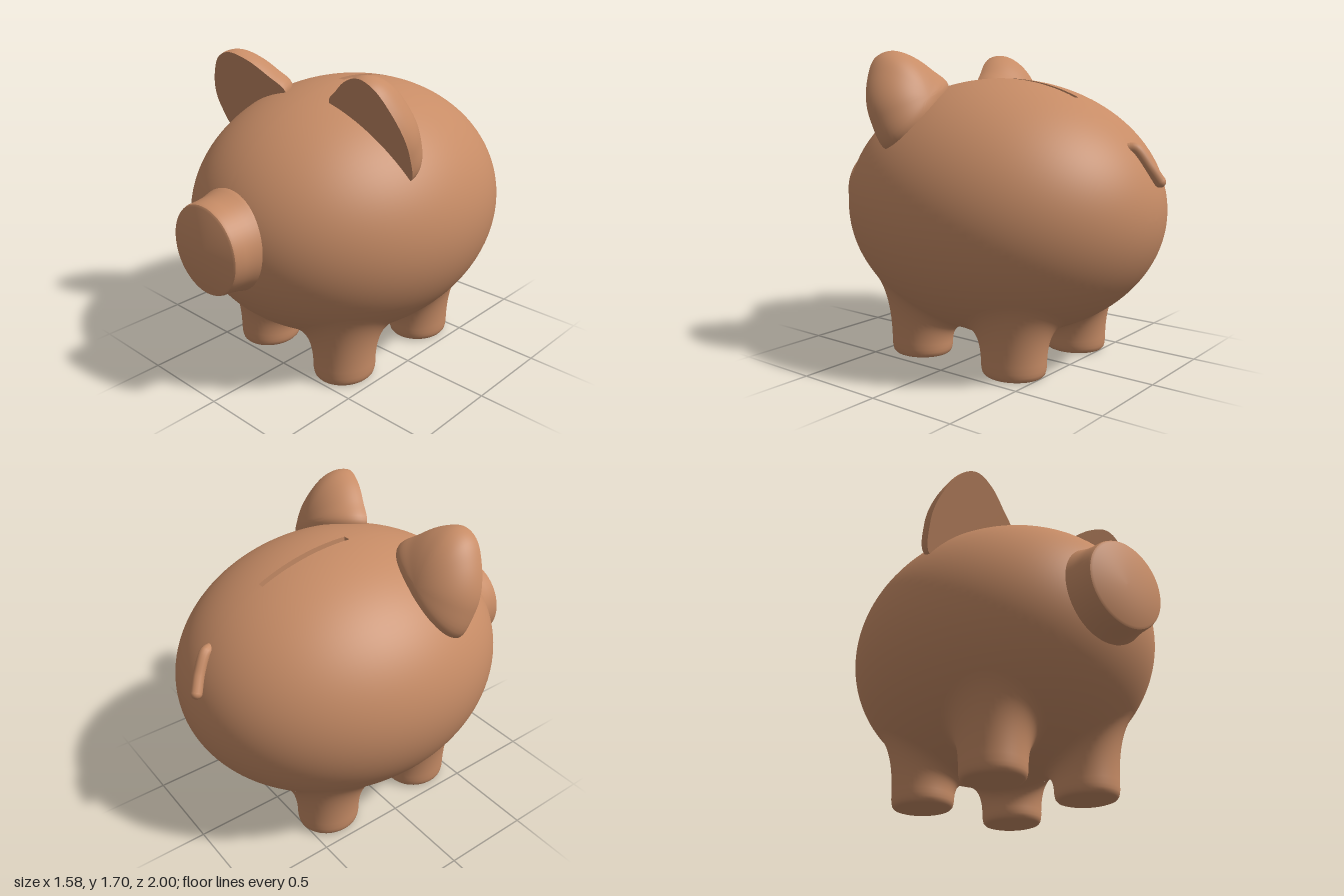
import * as THREE from 'three';
import { toCreasedNormals } from 'three/addons/utils/BufferGeometryUtils.js';
import { ParametricGeometry } from 'three/addons/geometries/ParametricGeometry.js';

// Body ellipsoid: half sizes and centre
const RX = 0.79, RY = 0.71, FRONT = 0.93, BACK = 0.95, CY = 0.845, CZ = -0.03;
const TAU = Math.PI * 2;

function finish(geometry, crease = 0.6) {
  geometry.deleteAttribute('normal');
  geometry.deleteAttribute('uv');
  return toCreasedNormals(geometry, crease);
}

// Evenly spaced values, each tagged as sunk (in the slot) or not
function steps(from, to, count, sunk) {
  return Array.from({ length: count + 1 }, (_, i) => ({ a: from + (to - from) * i / count, sunk }));
}

// Egg-shaped body with the coin slot pressed into its back
function bodyGeometry() {
  const half = 0.025;
  const slotFront = Math.acos((0.02 - CZ) / FRONT);
  const slotBack = Math.acos((-0.52 - CZ) / BACK);
  const around = [...steps(half, TAU - half, 110, false),
    ...steps(TAU - half, TAU + half, 2, true), { a: TAU + half, sunk: false }];
  const along = [...steps(0, slotFront, 32, false),
    ...steps(slotFront, slotBack, 14, true), ...steps(slotBack, Math.PI, 24, false)];
  const nu = around.length - 1, nv = along.length - 1;
  return finish(new ParametricGeometry((u, v, p) => {
    const phi = around[Math.round(u * nu)], th = along[Math.round(v * nv)];
    const r = Math.sin(th.a), c = Math.cos(th.a);
    p.set(RX * r * Math.sin(phi.a), CY + RY * r * Math.cos(phi.a), CZ + c * (c > 0 ? FRONT : BACK));
    if (phi.sunk && th.sunk) p.y -= 0.07;
  }, nu, nv));
}

// Height of the belly underside at x, z
function belly(x, z) {
  const dz = (z - CZ) / (z > CZ ? FRONT : BACK);
  return CY - RY * Math.sqrt(Math.max(0, 1 - (x / RX) ** 2 - dz * dz));
}

// Leg: flat rounded foot, straight wall, then a fillet that meets the belly tangentially
function legGeometry(cx, cz) {
  const foot = [[0.001, 0], [0.5, 0], [0.84, 0], [0.91, 0.004], [0.96, 0.014], [0.985, 0.03]];
  const fillet = 14, flare = 1.55, n = foot.length + fillet;
  return finish(new ParametricGeometry((u, v, p) => {
    const k = Math.round(v * n), ca = Math.cos(u * TAU), sa = -Math.sin(u * TAU);
    const under = s => belly(cx + 0.165 * s * ca, cz + 0.18 * s * sa);
    let s, y;
    if (k < foot.length) [s, y] = foot[k];
    else {
      const t = (k - foot.length) / fillet, q = 1 - t;
      const end = under(flare), slope = (end - under(flare - 0.01)) / 0.01;
      const corner = Math.max(0.09, end - slope * (flare - 1));
      s = q * q + 2 * q * t * 1.0 + t * t * flare;
      y = q * q * 0.05 + 2 * q * t * corner + t * t * end;
    }
    p.set(cx + 0.165 * s * ca, y, cz + 0.18 * s * sa);
  }, 48, n));
}

// Ear: flat tilted front face with a domed back
function earGeometry(side) {
  const outline = new THREE.CatmullRomCurve3([
    [0.16, 1.5], [0.25, 1.585], [0.36, 1.66], [0.47, 1.69], [0.56, 1.655], [0.64, 1.55],
    [0.69, 1.43], [0.697, 1.33], [0.66, 1.19], [0.5, 1.18], [0.3, 1.31],
  ].map(([x, y]) => new THREE.Vector3(x, y, 0.145 * x + 0.395 * y - 0.336)), true);
  const centre = new THREE.Vector3(0.45, 1.38, 0.145 * 0.45 + 0.395 * 1.38 - 0.336);
  const back = new THREE.Vector3(0.145, 0.395, -1).normalize();
  return finish(new ParametricGeometry((u, v, p) => {
    outline.getPoint((side > 0 ? u : 1 - u) % 1, p);
    const dome = Math.max(0, v - 0.25) / 0.75 * Math.PI / 2;
    p.sub(centre).multiplyScalar(v < 0.25 ? v / 0.25 : Math.cos(dome));
    p.add(centre).addScaledVector(back, 0.21 * Math.sin(dome));
    p.x *= side;
  }, 64, 24));
}

export function createModel() {
  const group = new THREE.Group();
  const clay = new THREE.MeshStandardMaterial({ color: 0xc78c66 });
  const add = (name, geometry, parent = group) => {
    const mesh = new THREE.Mesh(geometry, clay);
    mesh.name = name;
    parent.add(mesh);
    return mesh;
  };

  add('body', bodyGeometry());

  // Snout: tapered disc with a softened rim, turned about z
  const profile = [[0.27, 0.74], [0.272, 0.81], [0.262, 0.84], [0.25, 0.88], [0.242, 0.93],
    [0.238, 0.98], [0.233, 0.993], [0.222, 1], [0, 1]].map(([r, z]) => new THREE.Vector2(r, z));
  const snout = add('snout', finish(new THREE.LatheGeometry(profile, 64)));
  snout.rotation.x = Math.PI / 2;
  snout.position.y = 0.87;

  // Legs and ears, mirrored left and right
  for (const side of [1, -1]) {
    const label = side > 0 ? 'left' : 'right';
    add(label + 'FrontLeg', legGeometry(0.3 * side, 0.315));
    add(label + 'BackLeg', legGeometry(0.3 * side, -0.34));
    add(label + 'Ear', earGeometry(side));
  }

  // Tail: short bent tube with rounded ends
  const tail = new THREE.Group();
  tail.name = 'tail';
  group.add(tail);
  const path = new THREE.CatmullRomCurve3([
    [0, 1.2, -0.835], [-0.012, 1.2, -0.865], [-0.045, 1.11, -0.928], [-0.08, 1.035, -0.97],
  ].map(p => new THREE.Vector3(...p)));
  add('tailTube', new THREE.TubeGeometry(path, 24, 0.03, 14), tail);
  for (const t of [0, 1]) {
    add('tailEnd', new THREE.SphereGeometry(0.03, 16, 12), tail).position.copy(path.getPoint(t));
  }
  return group;
}
